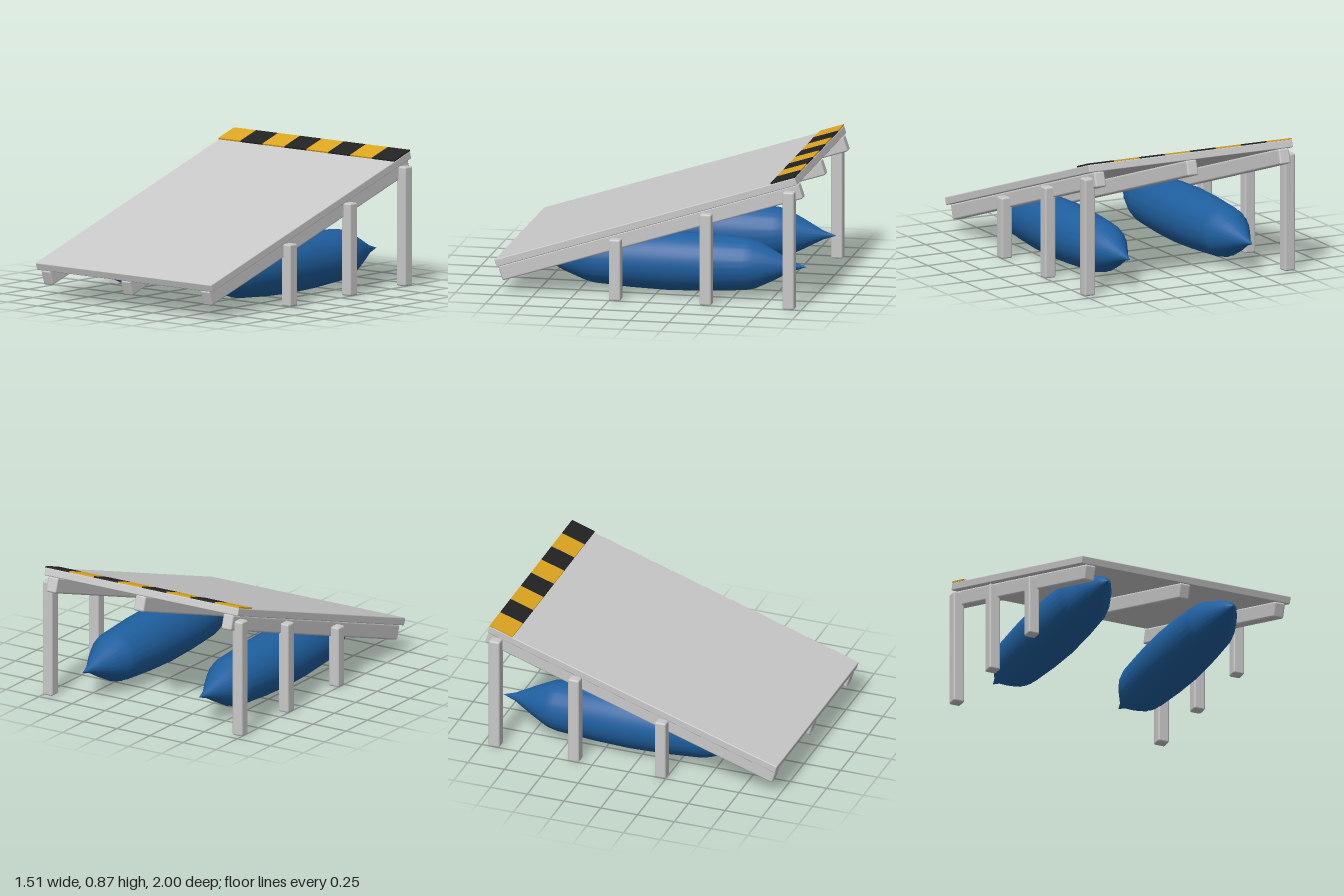
import * as THREE from 'three';
import { RoundedBoxGeometry } from 'three/addons/geometries/RoundedBoxGeometry.js';

const paint = (name, color) => Object.assign(new THREE.MeshStandardMaterial({ color }), { name });

// Pleated spindle: a lathe whose alternate columns are drawn in slightly
function floatGeometry() {
  const profile = [[0, -0.97], [0.028, -0.885], [0.1, -0.75], [0.153, -0.64], [0.166, -0.58], [0.183, -0.32],
    [0.19, -0.08], [0.183, 0.16], [0.166, 0.4], [0.153, 0.46], [0.1, 0.6], [0.045, 0.71], [0, 0.75]];
  const sides = 48;
  const geo = new THREE.LatheGeometry(profile.map(([r, z]) => new THREE.Vector2(r, z)), sides);
  const pos = geo.attributes.position;
  for (let i = 0; i < pos.count; i++) {
    const column = Math.floor(i / profile.length) % sides;
    const k = column % 2 ? 0.975 : 1;
    pos.setX(i, pos.getX(i) * k);
    pos.setZ(i, pos.getZ(i) * k);
  }
  geo.rotateX(Math.PI / 2);
  geo.computeVertexNormals();
  return geo;
}

export function createModel() {
  const model = new THREE.Group();
  model.name = 'floatingRamp';
  const grey = paint('greyMetal', 0xc8c8c8);
  const blue = paint('blueFloat', 0x1f5f9f);
  const yellow = paint('warningYellow', 0xdba51f);
  const black = paint('warningBlack', 0x222222);

  const add = (parent, name, geo, mat, x, y, z) => {
    const mesh = new THREE.Mesh(geo, mat);
    mesh.name = name;
    mesh.position.set(x, y, z);
    parent.add(mesh);
    return mesh;
  };
  const block = (w, h, d, r) => new RoundedBoxGeometry(w, h, d, 2, r);

  // Sloping deck, with the group's origin at the middle of its top face
  const deck = new THREE.Group();
  deck.name = 'deck';
  deck.position.set(0, 0.5425, 0.0225);
  deck.rotation.x = Math.PI / 10;
  model.add(deck);
  const length = 2.056;
  add(deck, 'deckPlate', block(1.464, 0.05, length, 0.006), grey, 0, -0.025, 0);
  for (const x of [-0.663, 0, 0.663])
    add(deck, 'deckBeam', block(0.076, 0.1, length, 0.012), grey, x, -0.1, 0);

  // Warning stripe along the high edge
  const count = 8, w = 1.464 / count, depth = 0.163;
  for (let i = 0; i < count; i++)
    add(deck, 'warningStripe', new THREE.BoxGeometry(w, 0.0098, depth), i % 2 ? black : yellow,
      (i - (count - 1) / 2) * w, 0.0049, -length / 2 + depth / 2);

  // Posts and floats on both sides
  const bag = floatGeometry();
  for (const side of [-1, 1]) {
    for (const [z, h] of [[0.213, 0.4], [-0.377, 0.595], [-0.917, 0.767]])
      add(model, 'post', block(0.076, h, 0.076, 0.012), grey, side * 0.718, h / 2, z);
    add(model, 'float', bag, blue, side * 0.44, 0.21, 0);
  }
  return model;
}
